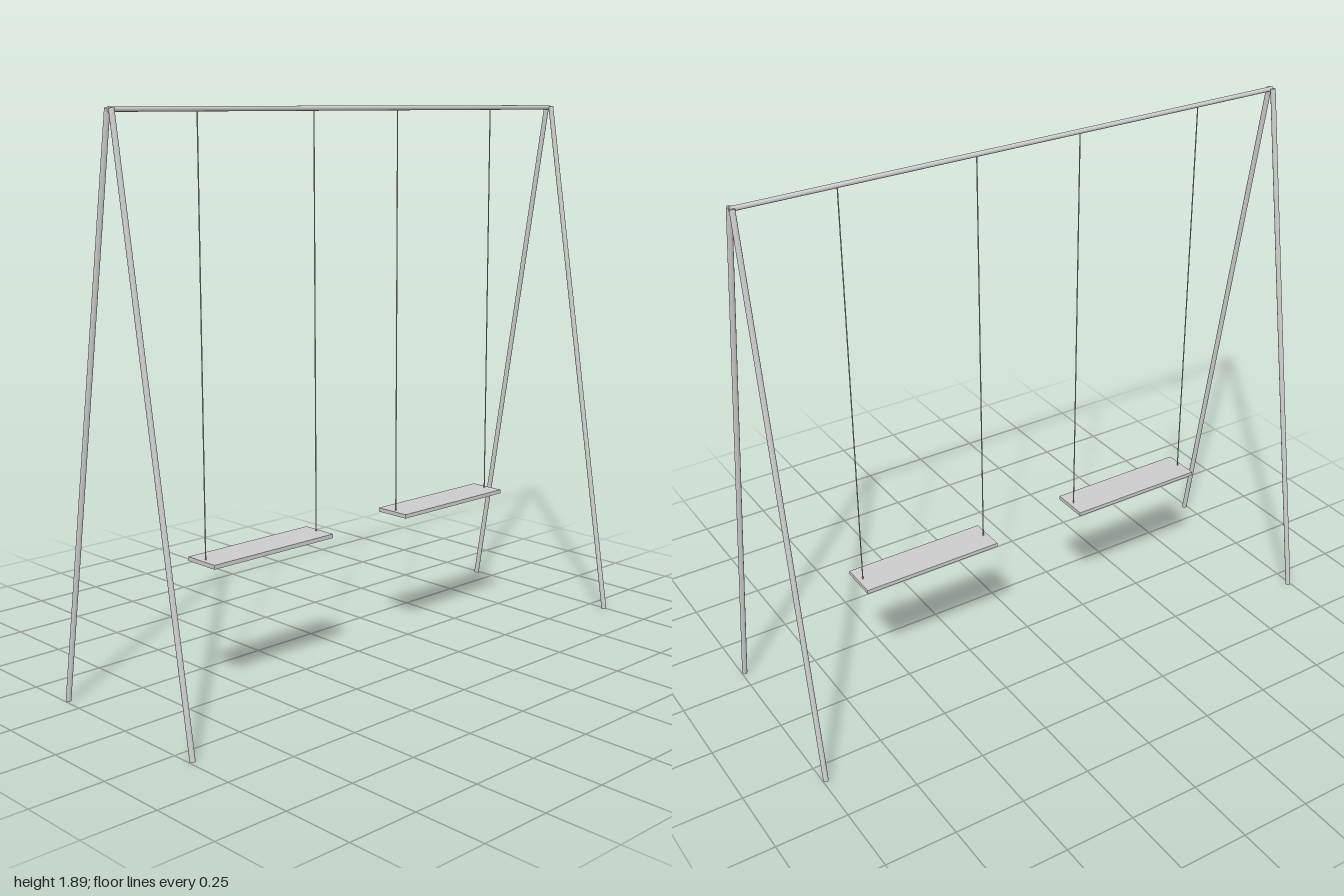
import * as THREE from 'three';

export function createModel() {
  const group = new THREE.Group();
  const material = new THREE.MeshStandardMaterial({ color: 0xcccccc });

  // Round bar running between two points
  function bar(name, from, to, radius, sides = 16) {
    const a = new THREE.Vector3(...from);
    const b = new THREE.Vector3(...to);
    const dir = b.clone().sub(a);
    const mesh = new THREE.Mesh(
      new THREE.CylinderGeometry(radius, radius, dir.length(), sides), material);
    mesh.name = name;
    mesh.position.copy(a).add(b).multiplyScalar(0.5);
    mesh.quaternion.setFromUnitVectors(new THREE.Vector3(0, 1, 0), dir.normalize());
    group.add(mesh);
  }

  // Top beam
  bar('topBeam', [-0.995, 1.883, 0], [0.995, 1.883, 0], 0.008);

  // A-frame legs at both ends
  for (const [side, sx] of [['left', 1], ['right', -1]]) {
    for (const [end, sz] of [['Front', 1], ['Back', -1]]) {
      bar(`${side}${end}Leg`, [sx * 0.99, 0.002, sz * 0.324], [sx * 0.99, 1.886, sz * 0.01], 0.009);
    }
  }

  // Two swings: a plank seat hung on two thin ropes
  for (const [side, x] of [['left', 0.421], ['right', -0.436]]) {
    const seat = new THREE.Mesh(new THREE.BoxGeometry(0.508, 0.014, 0.132), material);
    seat.name = `${side}Seat`;
    seat.position.set(x, 0.471, -0.001);
    group.add(seat);
    for (const [end, sx] of [['Left', 1], ['Right', -1]]) {
      const rx = x + sx * 0.237;
      bar(`${side}Swing${end}Rope`, [rx, 0.47, 0], [rx, 1.883, 0], 0.002, 8);
    }
  }

  return group;
}
